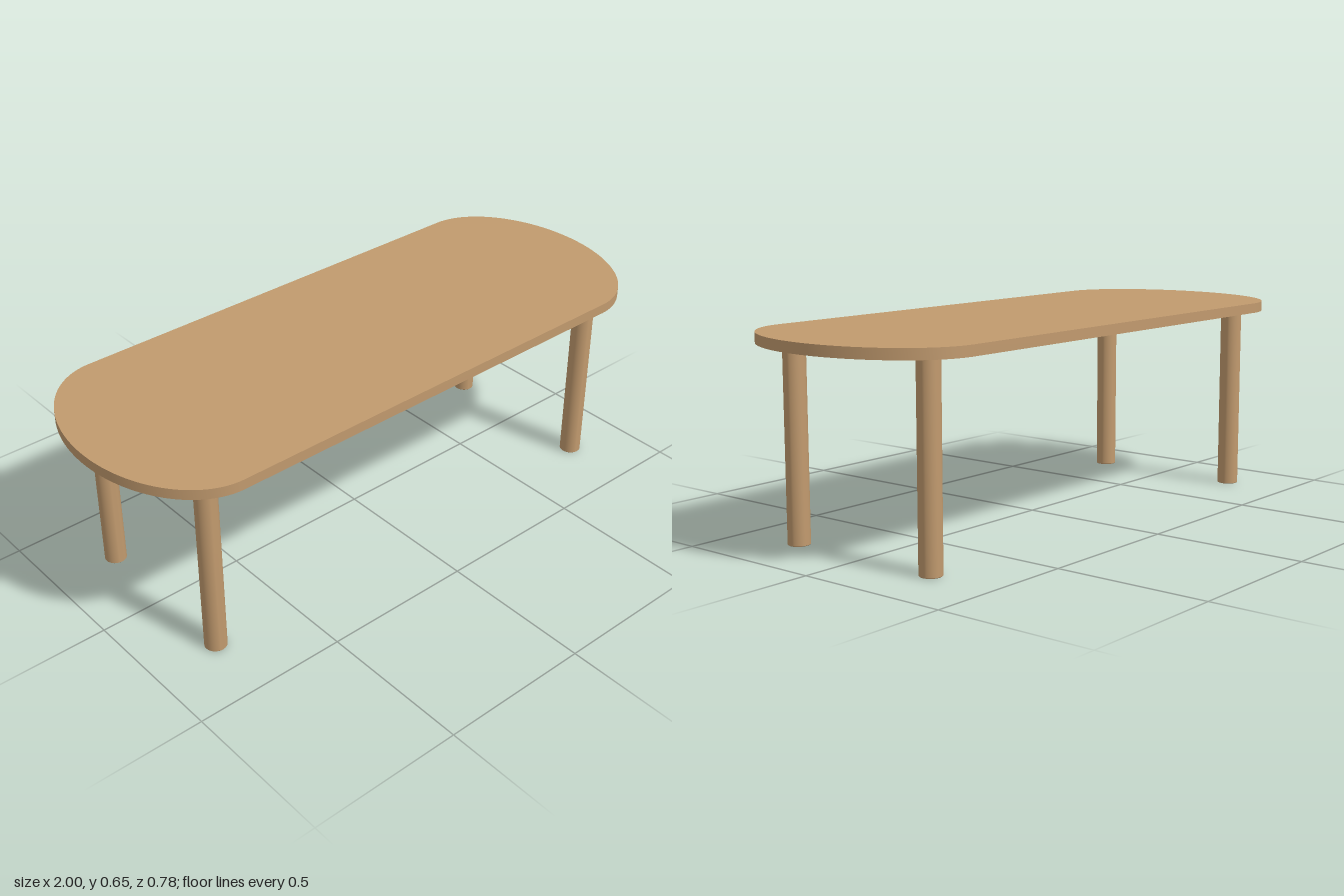
import * as THREE from 'three';
import { toCreasedNormals } from 'three/addons/utils/BufferGeometryUtils.js';

const TOP_Y = 0.653, UNDER_Y = 0.62;

// Slab with straight long sides and half-elliptical ends
function tableTopGeometry() {
  const straight = 0.73, endRadius = 0.27, halfDepth = 0.39;
  const outline = new THREE.Shape();
  outline.moveTo(-straight, -halfDepth);
  outline.lineTo(straight, -halfDepth);
  outline.absellipse(straight, 0, endRadius, halfDepth, -Math.PI / 2, Math.PI / 2, false);
  outline.lineTo(-straight, halfDepth);
  outline.absellipse(-straight, 0, endRadius, halfDepth, Math.PI / 2, Math.PI * 1.5, false);
  const slab = new THREE.ExtrudeGeometry(outline, {
    depth: TOP_Y - UNDER_Y, bevelEnabled: false, curveSegments: 40,
  });
  slab.rotateX(-Math.PI / 2).translate(0, UNDER_Y, 0);
  return toCreasedNormals(slab, 0.6);
}

// Round leg with softened rims and a short narrow neck under the slab
function legGeometry() {
  const r = 0.035, h = 0.617, bevel = 0.002;
  const profile = [
    [0, 0], [r - bevel, 0], [r, bevel], [r, h - bevel], [r - bevel, h],
    [0.015, h], [0.015, UNDER_Y],
  ].map(([x, y]) => new THREE.Vector2(x, y));
  return toCreasedNormals(new THREE.LatheGeometry(profile, 32), 0.6);
}

export function createModel() {
  const wood = new THREE.MeshStandardMaterial({ color: 0xc19a6e });
  wood.name = 'wood';

  const table = new THREE.Group();
  table.name = 'table';

  const top = new THREE.Mesh(tableTopGeometry(), wood);
  top.name = 'tableTop';
  table.add(top);

  // Four legs, mirrored about both axes
  const legShape = legGeometry();
  for (const [sx, side] of [[1, 'Left'], [-1, 'Right']]) {
    for (const [sz, end] of [[1, 'front'], [-1, 'back']]) {
      const leg = new THREE.Mesh(legShape, wood);
      leg.name = `${end}${side}Leg`;
      leg.position.set(sx * 0.78, 0, sz * 0.27);
      table.add(leg);
    }
  }
  return table;
}
